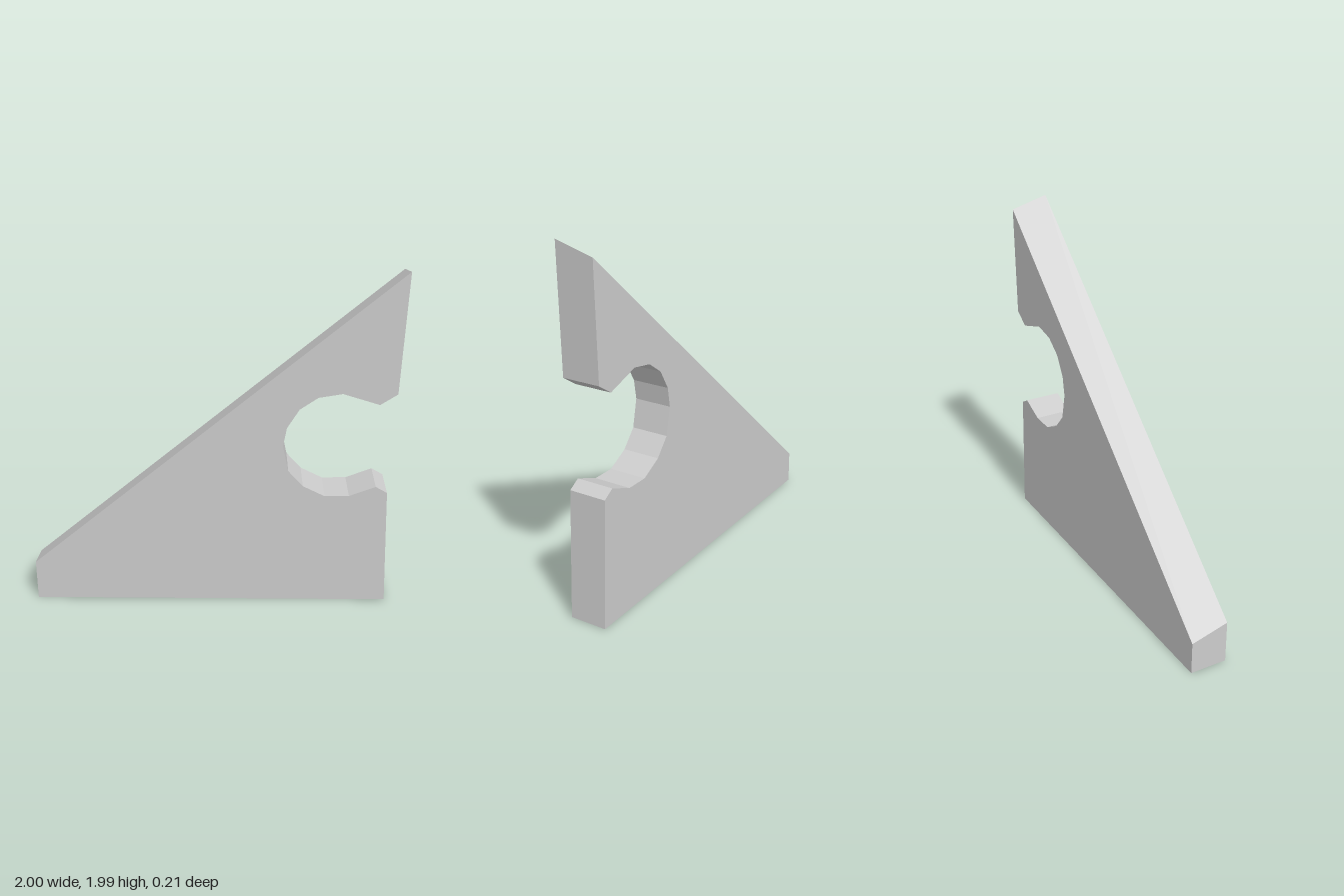
import * as THREE from 'three';

const HALF_DEPTH = 0.105;
const BACK_DROP = 0.057; // the sloped top edge is bevelled down towards the back

export function createModel() {
  const group = new THREE.Group();
  group.name = 'notchedWedge';

  // Outline, counter-clockwise from the bottom left
  const outline = [
    [-1, 0], [1, 0],
    // faceted round notch with a flared mouth
    [0.968, 0.713], [0.904, 0.751], [0.76, 0.692], [0.626, 0.69], [0.504, 0.753],
    [0.421, 0.847], [0.388, 1.0], [0.406, 1.11], [0.47, 1.22], [0.567, 1.29],
    [0.695, 1.313], [0.893, 1.25], [0.984, 1.312],
    // sloped top edge
    [1, 1.987], [-1, 0.243],
  ].map(([x, y]) => new THREE.Vector2(x, y));

  const geometry = new THREE.ExtrudeGeometry(new THREE.Shape(outline), {
    depth: 2 * HALF_DEPTH, bevelEnabled: false,
  });
  geometry.translate(0, 0, -HALF_DEPTH);

  // Lower the back corners of the sloped edge
  const top = outline.slice(-2);
  const pos = geometry.attributes.position;
  for (let i = 0; i < pos.count; i++) {
    const x = pos.getX(i), y = pos.getY(i);
    const onSlope = top.some((p) => Math.hypot(p.x - x, p.y - y) < 1e-4);
    if (onSlope && pos.getZ(i) < 0) pos.setY(i, y - BACK_DROP);
  }
  geometry.computeVertexNormals();

  const plate = new THREE.Mesh(
    geometry,
    new THREE.MeshStandardMaterial({ color: 0xcccccc, flatShading: true }),
  );
  plate.name = 'notchedPlate';
  group.add(plate);
  return group;
}
